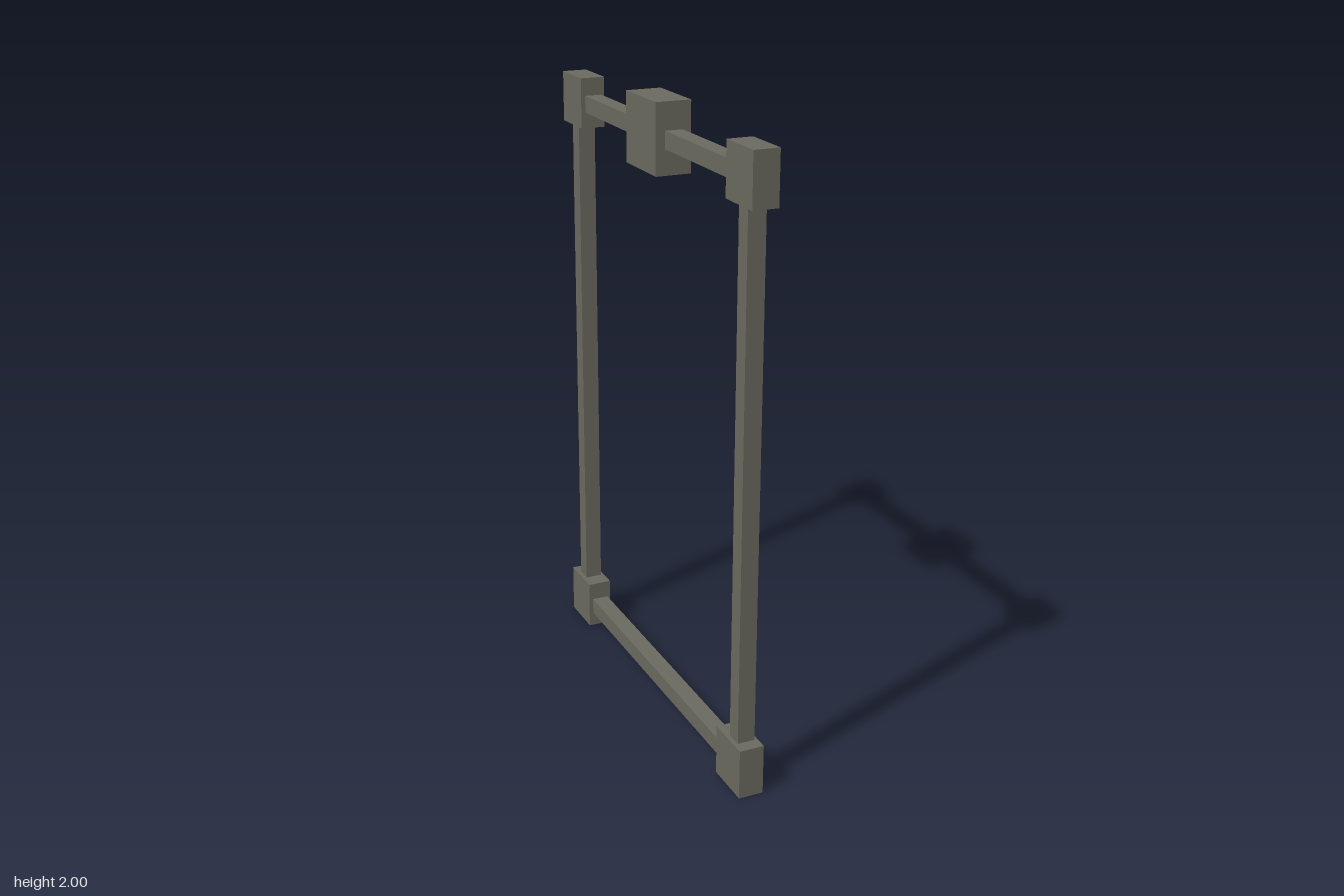
import * as THREE from 'three';

export function createModel() {
  const group = new THREE.Group();
  group.name = 'frame';
  const stone = new THREE.MeshStandardMaterial({ color: 0x6b6a5f });
  stone.name = 'grey stone';

  // Box from its lower and upper limits on each axis
  function block(name, [x0, x1], [y0, y1], [z0, z1]) {
    const mesh = new THREE.Mesh(new THREE.BoxGeometry(x1 - x0, y1 - y0, z1 - z0), stone);
    mesh.position.set((x0 + x1) / 2, (y0 + y1) / 2, (z0 + z1) / 2);
    mesh.name = name;
    group.add(mesh);
  }

  const barX = [-0.028, 0.028];
  const cornerX = [-0.042, 0.038];

  // Corner blocks
  block('topFrontCorner', cornerX, [1.81, 1.972], [0.528, 0.686]);
  block('topBackCorner', cornerX, [1.81, 1.972], [-0.685, -0.527]);
  block('bottomFrontCorner', cornerX, [0, 0.163], [0.519, 0.677]);
  block('bottomBackCorner', cornerX, [0, 0.163], [-0.685, -0.527]);

  // Keystone in the middle of the top rail
  block('keystone', [-0.058, 0.055], [1.782, 2], [-0.118, 0.1]);

  // Posts, ending inside the corner blocks
  block('frontPost', barX, [0.1, 1.87], [0.581, 0.635]);
  block('backPost', barX, [0.1, 1.87], [-0.641, -0.587]);

  // Rails
  block('topRail', barX, [1.861, 1.915], [-0.6, 0.6]);
  block('bottomRail', barX, [0.049, 0.103], [-0.6, 0.6]);

  return group;
}
